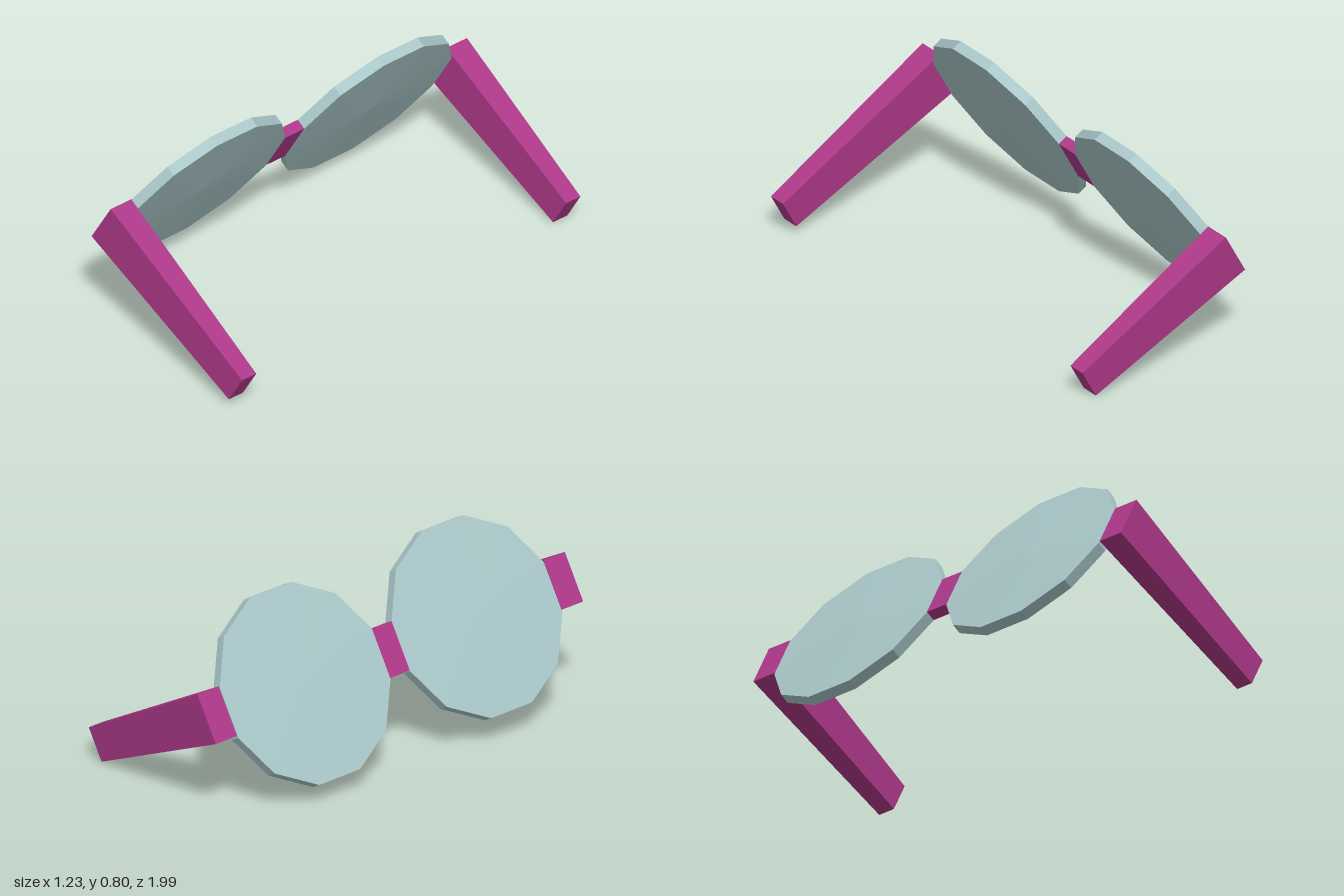
import * as THREE from 'three';

const plum = new THREE.MeshStandardMaterial({ color: 0xad3888 });
plum.name = 'plum frame';
const glass = new THREE.MeshStandardMaterial({ color: 0xa9c6c8 });
glass.name = 'pale teal lens';

const FRONT = -0.5; // front plane of the frame, local z
const MID = -0.014; // middle between the lenses, local x

function add(parent, name, geometry, material, x, y, z) {
  const mesh = new THREE.Mesh(geometry, material);
  mesh.name = name;
  mesh.position.set(x, y, z);
  parent.add(mesh);
  return mesh;
}

// Twelve-sided disc with slightly domed faces and faceted shading
function lensGeometry() {
  const r = 0.399, h = 0.022, dome = 0.012;
  const profile = [[0, -h - dome], [r, -h], [r, h], [0, h + dome]].map(p => new THREE.Vector2(...p));
  const g = new THREE.LatheGeometry(profile, 12, Math.PI / 12).rotateX(Math.PI / 2).toNonIndexed();
  g.computeVertexNormals();
  return g;
}

// Bar running back from the front plane, tapering at both sides and underneath
function templeGeometry(length) {
  const g = new THREE.BoxGeometry(1, 1, 1).translate(0, -0.5, 0.5);
  const p = g.attributes.position;
  for (let i = 0; i < p.count; i++) {
    const t = p.getZ(i);
    const width = THREE.MathUtils.lerp(0.108, 0.074, t);
    const height = THREE.MathUtils.lerp(0.204, 0.142, t);
    p.setXYZ(i, p.getX(i) * width, p.getY(i) * height + 0.012 * t, t * length);
  }
  const flat = g.toNonIndexed();
  flat.computeVertexNormals();
  return flat;
}

export function createModel() {
  const model = new THREE.Group();
  model.name = 'glasses';

  // Whole pair is tilted: x across the lenses, y up the lens, z along the temples
  const glasses = new THREE.Group();
  glasses.name = 'tiltedGlasses';
  const across = new THREE.Vector3(0.218, -0.04, -0.975).normalize();
  const along = new THREE.Vector3().crossVectors(across, new THREE.Vector3(0.49, 0.868, 0.075)).normalize();
  const up = new THREE.Vector3().crossVectors(along, across);
  glasses.quaternion.setFromRotationMatrix(new THREE.Matrix4().makeBasis(across, up, along));
  model.add(glasses);

  // Lenses and temples, one temple a little shorter than the other
  for (const [side, label, length] of [[-1, 'right', 0.86], [1, 'left', 0.782]]) {
    add(glasses, label + 'Lens', lensGeometry(), glass, MID + side * 0.435, 0.232, FRONT + 0.022);
    add(glasses, label + 'Temple', templeGeometry(length), plum, MID + side * 0.876, 0.342, FRONT);
  }

  // Bridge between the lenses
  add(glasses, 'bridge', new THREE.BoxGeometry(0.11, 0.204, 0.044), plum, MID, 0.234, FRONT + 0.022);

  return model;
}
